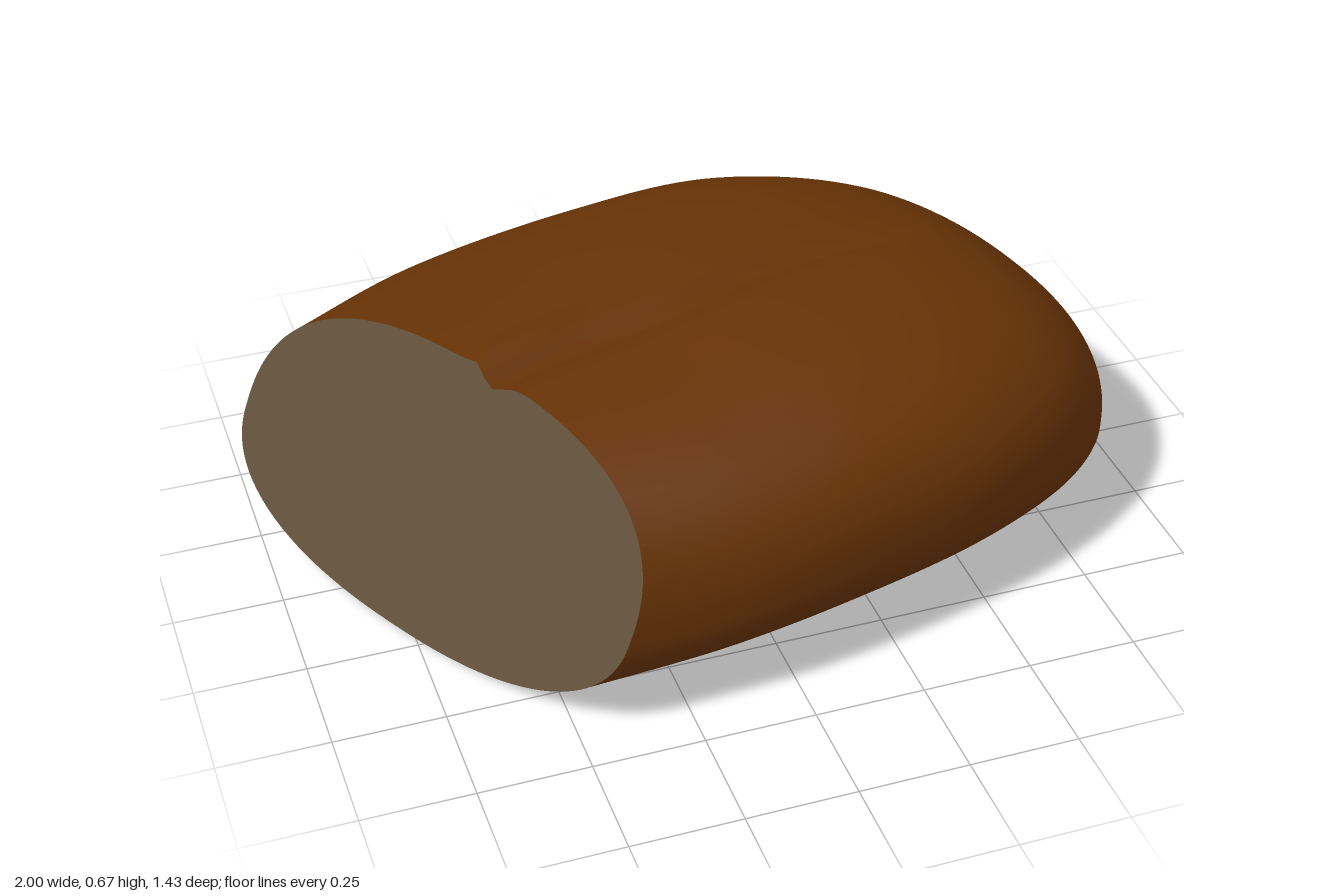
import * as THREE from 'three';

// Stations from the cut to the tip: back x, back z, front x, front z, crown height
const STATIONS = [
  [-0.98, -0.39, -0.40, 0.71, 0.65],
  [-0.67, -0.56, -0.10, 0.69, 0.655],
  [-0.24, -0.668, 0.20, 0.63, 0.667],
  [0.13, -0.716, 0.50, 0.535, 0.65],
  [0.50, -0.65, 0.75, 0.39, 0.57],
  [0.76, -0.505, 0.905, 0.225, 0.435],
  [0.90, -0.36, 0.975, 0.075, 0.285],
  [0.962, -0.26, 0.999, -0.06, 0.155],
  [0.987, -0.19, 0.987, -0.19, 0],
];
const RINGS = 96, SIDES = 200;

const bump = (d, width) => Math.exp(-((d / width) ** 2));
const power = (v, n) => Math.sign(v) * Math.abs(v) ** (2 / n);

// Height change around the baked split that runs along the crown
function splitOffset(x, z) {
  const dx = 1.13, dz = -0.34, len = Math.hypot(dx, dz);
  const along = ((x + 0.55) * dx + (z - 0.21) * dz) / (len * len);
  const d = ((z - 0.21) * dx - (x + 0.55) * dz) / len + 0.006 * Math.sin(along * 12);
  const fade = 1 - THREE.MathUtils.smoothstep(along, 0.7, 1.05);
  const groove = -0.032 * bump(d, d < 0 ? 0.022 : 0.05);
  const lip = (0.004 + 0.012 * bump(along - 0.13, 0.1)) * bump(d + 0.05, 0.03);
  return fade * (groove + lip);
}

function buildRings() {
  const back = new THREE.CatmullRomCurve3(STATIONS.map(s => new THREE.Vector3(s[0], s[4], s[1])));
  const front = new THREE.CatmullRomCurve3(STATIONS.map(s => new THREE.Vector3(s[2], s[4], s[3])));
  const rings = [];
  for (let i = 0; i <= RINGS; i++) {
    const t = i / RINGS, b = back.getPoint(t), f = front.getPoint(t);
    const height = Math.max(0, f.y), waist = 0.42 * height;
    const ring = [];
    for (let j = 0; j < SIDES; j++) {
      const a = (j / SIDES) * Math.PI * 2;
      const n = Math.sin(a) > 0 ? 2.45 : 2.3; // the crown is squarer than the underside
      const c = power(Math.cos(a), n), s = power(Math.sin(a), n);
      let x = (b.x + f.x) / 2 + c * (f.x - b.x) / 2;
      const z = (b.z + f.z) / 2 + c * (f.z - b.z) / 2;
      let y = waist + s * (s > 0 ? height - waist : waist);
      const lean = 0.345 * (1 - t) ** 2;
      if (s > 0) y += splitOffset(x + lean * (y - 0.28), z) * Math.min(1, s * 1.5);
      x += lean * (y - 0.28); // the slanted cut, fading out towards the tip
      ring.push(x, y, z);
    }
    rings.push(ring);
  }
  return rings;
}

function makeGeometry(positions, index) {
  const g = new THREE.BufferGeometry();
  g.setAttribute('position', new THREE.Float32BufferAttribute(positions, 3));
  g.setIndex(index);
  g.computeVertexNormals();
  return g;
}

export function createModel() {
  const crustMaterial = new THREE.MeshStandardMaterial({ color: 0x683306 });
  crustMaterial.name = 'brown crust';
  const crumbMaterial = new THREE.MeshStandardMaterial({ color: 0x63523c });
  crumbMaterial.name = 'grey brown crumb';

  const rings = buildRings();

  // Crust skin
  const skin = [];
  for (let i = 0; i < RINGS; i++) {
    for (let j = 0; j < SIDES; j++) {
      const k = (j + 1) % SIDES;
      const a = i * SIDES + j, b = a + SIDES, c = (i + 1) * SIDES + k, d = i * SIDES + k;
      skin.push(a, b, c);
      skin.push(a, c, d);
    }
  }
  const crust = new THREE.Mesh(makeGeometry(rings.flat(), skin), crustMaterial);
  crust.name = 'crust';

  // Flat cut face, a fan closing the first ring
  const rim = rings[0];
  const centre = [0, 0, 0];
  rim.forEach((v, n) => { centre[n % 3] += v / SIDES; });
  const fan = [];
  for (let j = 0; j < SIDES; j++) fan.push(SIDES, j, (j + 1) % SIDES);
  const cutFace = new THREE.Mesh(makeGeometry([...rim, ...centre], fan), crumbMaterial);
  cutFace.name = 'cutFace';

  const loaf = new THREE.Group();
  loaf.name = 'breadLoaf';
  loaf.add(crust, cutFace);
  return loaf;
}
